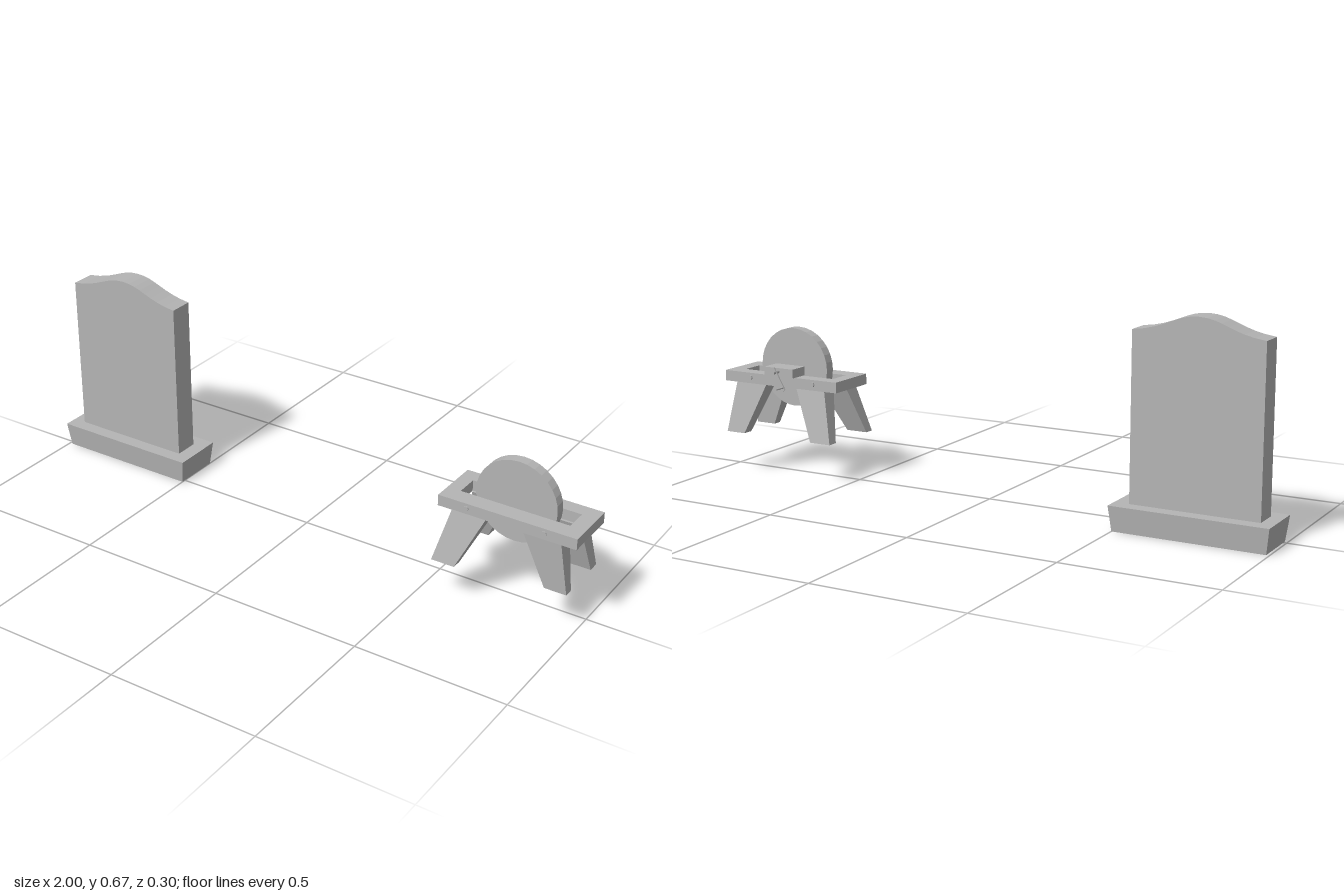
import * as THREE from 'three';

const stone = new THREE.MeshStandardMaterial({ color: 0xb4b4b4 });

function add(parent, name, geometry) {
  // Flat facets everywhere
  const flat = geometry.index ? geometry.toNonIndexed() : geometry;
  flat.computeVertexNormals();
  const mesh = new THREE.Mesh(flat, stone);
  mesh.name = name;
  parent.add(mesh);
  return mesh;
}

// Tapered block between two rectangles [x0, x1, z0, z1] at heights y0 and y1
function taper(bottom, top, y0, y1) {
  const g = new THREE.BoxGeometry(1, 1, 1);
  const p = g.attributes.position;
  for (let i = 0; i < p.count; i++) {
    const up = p.getY(i) > 0;
    const r = up ? top : bottom;
    p.setXYZ(i, p.getX(i) < 0 ? r[0] : r[1], up ? y1 : y0, p.getZ(i) < 0 ? r[2] : r[3]);
  }
  return g;
}

const block = (x0, x1, y0, y1, z0, z1) => taper([x0, x1, z0, z1], [x0, x1, z0, z1], y0, y1);

// Cylinder lying along z
function rod(x, y, z0, z1, r, sides) {
  return new THREE.CylinderGeometry(r, r, z1 - z0, sides)
    .rotateX(Math.PI / 2).translate(x, y, (z0 + z1) / 2);
}

function makeHeadstone() {
  const group = new THREE.Group();
  group.name = 'headstone';
  add(group, 'plinth', taper([-0.99, -0.5, -0.143, 0.013], [-1, -0.49, -0.151, 0.022], 0, 0.081));

  // Slab with a gently arched top
  const half = 0.209, s = new THREE.Shape();
  s.moveTo(-half, 0.081);
  s.lineTo(half, 0.081);
  s.lineTo(half, 0.613);
  s.bezierCurveTo(0.1, 0.624, 0.075, 0.666, 0, 0.666);
  s.bezierCurveTo(-0.075, 0.666, -0.1, 0.624, -half, 0.613);
  const slab = new THREE.ExtrudeGeometry(s, { depth: 0.081, bevelEnabled: false, curveSegments: 8 });
  add(group, 'slab', slab.translate(-0.748, 0, -0.104));
  return group;
}

function makeGrindstone() {
  const group = new THREE.Group();
  group.name = 'grindstone';

  // Bench frame with a long slot for the wheel
  const s = new THREE.Shape();
  s.moveTo(0.545, -0.115).lineTo(1, -0.115).lineTo(1, 0.066).lineTo(0.545, 0.066).closePath();
  const hole = new THREE.Path();
  hole.moveTo(0.59, -0.058).lineTo(0.59, 0.018).lineTo(0.95, 0.018).lineTo(0.95, -0.058).closePath();
  s.holes.push(hole);
  const frame = new THREE.ExtrudeGeometry(s, { depth: 0.036, bevelEnabled: false });
  add(group, 'frame', frame.rotateX(-Math.PI / 2).translate(0, 0.302, 0));

  // Splayed legs: foot and top rectangles
  const legs = [
    ['frontRightLeg', [0.55, 0.628, 0.118, 0.152], [0.593, 0.706, 0.056, 0.115]],
    ['frontLeftLeg', [0.903, 0.975, 0.073, 0.104], [0.83, 0.952, 0.06, 0.115]],
    ['backRightLeg', [0.55, 0.628, -0.102, -0.065], [0.593, 0.706, -0.065, -0.01]],
    ['backLeftLeg', [0.903, 0.975, -0.098, -0.06], [0.83, 0.952, -0.065, -0.01]],
  ];
  for (const [name, foot, top] of legs) add(group, name, taper(foot, top, 0.133, 0.303));

  // Bolts through the rails
  for (const x of [0.64, 0.895]) {
    add(group, 'frontBolt', rod(x, 0.322, 0.11, 0.119, 0.009, 8));
    add(group, 'backBolt', rod(x, 0.322, -0.071, -0.06, 0.009, 8));
  }

  // Wheel, axle and bearing
  add(group, 'wheel', rod(0.77, 0.356, 0.015, 0.05, 0.134, 32));
  add(group, 'axle', rod(0.77, 0.356, -0.108, 0.02, 0.006, 10));
  add(group, 'bearing', block(0.71, 0.826, 0.338, 0.368, -0.078, -0.01));

  // Crank arm and grip
  const arm = add(group, 'crankArm', new THREE.BoxGeometry(0.012, 0.084, 0.005));
  arm.position.set(0.757, 0.333, -0.094);
  arm.rotation.z = -0.52;
  add(group, 'crankGrip', rod(0.738, 0.307, -0.135, -0.09, 0.003, 8));
  return group;
}

export function createModel() {
  const model = new THREE.Group();
  model.name = 'headstoneAndGrindstone';
  model.add(makeHeadstone(), makeGrindstone());
  return model;
}
